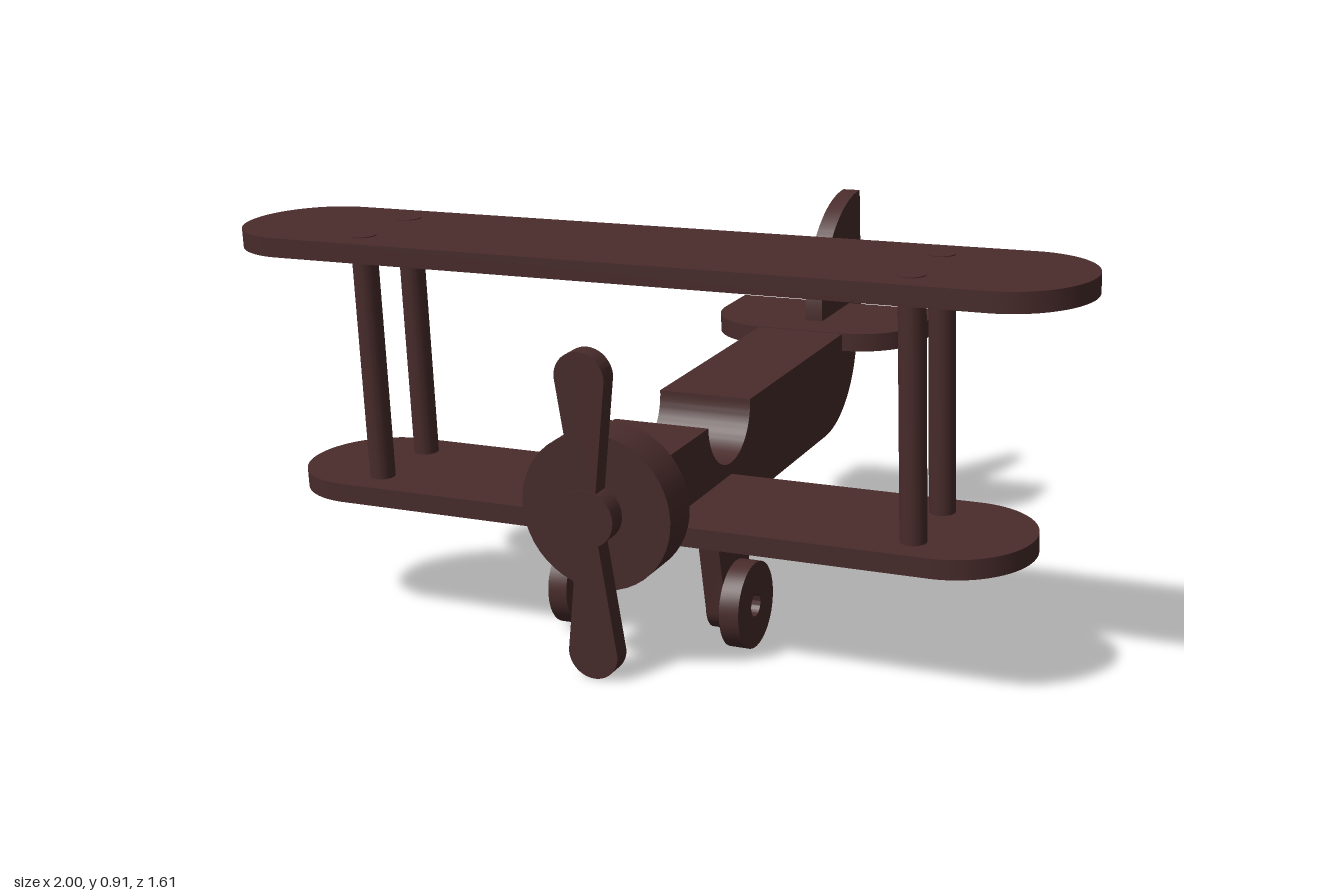
import * as THREE from 'three';
import { toCreasedNormals } from 'three/addons/utils/BufferGeometryUtils.js';

const wood = new THREE.MeshStandardMaterial({ color: 0x4a2c2c });

function extrude(shape, depth) {
  const geo = new THREE.ExtrudeGeometry(shape, { depth, bevelEnabled: false, curveSegments: 24 });
  return toCreasedNormals(geo, 0.6);
}

// Profile drawn in (z, y), given thickness along x, centred on x
function sidePlate(shape, x, thickness) {
  return extrude(shape, thickness).rotateY(-Math.PI / 2).translate(x + thickness / 2, 0, 0);
}

// Outline drawn in (x, z), hanging down from the given top height
function flatPlate(shape, top, thickness) {
  return extrude(shape, thickness).rotateX(Math.PI / 2).translate(0, top, 0);
}

function circleHole(shape, u, v, r) {
  const hole = new THREE.Path();
  hole.absarc(u, v, r, 0, Math.PI * 2, true);
  shape.holes.push(hole);
}

export function createModel() {
  const model = new THREE.Group();
  const plane = new THREE.Group();
  plane.name = 'biplane';
  model.add(plane);

  const add = (name, geometry) => {
    const mesh = new THREE.Mesh(geometry, wood);
    mesh.name = name;
    plane.add(mesh);
    return mesh;
  };

  // Fuselage with round cockpit cut and curved tail underside
  const body = new THREE.Shape();
  body.moveTo(0.61, 0.37);
  body.lineTo(0.61, 0.518);
  body.lineTo(0.373, 0.518);
  body.absarc(0.256, 0.518, 0.117, 0, Math.PI, true);
  body.lineTo(-0.563, 0.518);
  body.absarc(-0.328, 0.518, 0.235, Math.PI, Math.PI * 1.5, false);
  body.lineTo(0.256, 0.283);
  body.lineTo(0.256, 0.37);
  add('fuselage', sidePlate(body, 0, 0.23));

  // Engine cowl disc
  const cowl = new THREE.CylinderGeometry(0.175, 0.175, 0.096, 48).rotateX(Math.PI / 2);
  add('cowl', cowl.translate(0, 0.422, 0.656));

  // Propeller: two paddle blades and a hub
  const prop = new THREE.Shape();
  const tip = 0.305, r = 0.058;
  prop.moveTo(0.018, 0);
  prop.lineTo(r, tip);
  prop.absarc(0, tip, r, 0, Math.PI, false);
  prop.lineTo(-0.018, 0);
  prop.lineTo(-r, -tip);
  prop.absarc(0, -tip, r, Math.PI, Math.PI * 2, false);
  add('propeller', extrude(prop, 0.043).translate(0, 0.422, 0.704));
  const hub = new THREE.CylinderGeometry(0.063, 0.063, 0.046, 32).rotateX(Math.PI / 2);
  add('propellerHub', hub.translate(0, 0.422, 0.726));

  // Wings with semicircular ends
  const wing = (name, half, top) => {
    const radius = 0.176, z = 0.432, s = new THREE.Shape();
    s.absarc(half - radius, z, radius, -Math.PI / 2, Math.PI / 2, false);
    s.absarc(radius - half, z, radius, Math.PI / 2, Math.PI * 1.5, false);
    add(name, flatPlate(s, top, 0.044));
  };
  wing('upperWing', 1, 0.94);
  wing('lowerWing', 0.88, 0.374);

  // Wing struts, their ends showing through both wings
  for (const x of [-0.645, 0.645]) {
    for (const z of [0.336, 0.526]) {
      const strut = new THREE.CylinderGeometry(0.029, 0.029, 0.614, 24);
      add('wingStrut', strut.translate(x, 0.635, z));
    }
  }

  // Tailplane with rounded front corners
  const tail = new THREE.Shape();
  tail.moveTo(-0.282, -0.751);
  tail.lineTo(0.282, -0.751);
  tail.lineTo(0.282, -0.622);
  tail.absarc(0.115, -0.622, 0.167, 0, Math.PI / 2, false);
  tail.lineTo(-0.115, -0.455);
  tail.absarc(-0.115, -0.622, 0.167, Math.PI / 2, Math.PI, false);
  add('tailplane', flatPlate(tail, 0.52, 0.046));

  // Quarter-round fin reaching below the tailplane
  const fin = new THREE.Shape();
  fin.moveTo(-0.549, 0.518);
  fin.absarc(-0.842, 0.518, 0.293, 0, Math.PI / 2, false);
  fin.lineTo(-0.842, 0.451);
  fin.absarc(-0.822, 0.451, 0.02, Math.PI, Math.PI * 1.5, false);
  fin.lineTo(-0.667, 0.431);
  fin.absarc(-0.667, 0.466, 0.035, -Math.PI / 2, 0, false);
  fin.lineTo(-0.632, 0.518);
  add('tailFin', sidePlate(fin, 0, 0.046));

  // Tail skid: slanted bar with a round end
  const skid = new THREE.Shape();
  skid.moveTo(0, -0.028);
  skid.lineTo(0.16, -0.028);
  skid.lineTo(0.16, 0.028);
  skid.lineTo(0, 0.028);
  skid.absarc(0, 0, 0.028, Math.PI / 2, Math.PI * 1.5, false);
  add('tailSkid', sidePlate(skid, 0, 0.046).rotateX(-0.68).translate(0, 0.233, -0.33));

  // Landing gear: tapered legs and wheels with an open axle hole
  const leg = new THREE.Shape();
  const axleZ = 0.433, axleY = 0.14;
  leg.moveTo(axleZ + 0.07, 0.332);
  leg.quadraticCurveTo(axleZ + 0.09, 0.33, axleZ + 0.087, 0.302);
  leg.lineTo(axleZ + 0.06, axleY);
  leg.absarc(axleZ, axleY, 0.06, 0, Math.PI, true);
  leg.lineTo(axleZ - 0.087, 0.302);
  leg.quadraticCurveTo(axleZ - 0.09, 0.33, axleZ - 0.07, 0.332);
  circleHole(leg, axleZ, axleY, 0.026);
  const tyre = new THREE.Shape();
  tyre.absarc(axleZ, axleY, 0.098, 0, Math.PI * 2, false);
  circleHole(tyre, axleZ, axleY, 0.026);
  for (const side of [-1, 1]) {
    const x = 0.01 + side * 0.164;
    add('landingLeg', sidePlate(leg, x, 0.048));
    add('wheel', sidePlate(tyre, x + side * 0.047, 0.046));
  }

  // Nose-down stance, resting on the lower propeller tip
  plane.rotation.x = 0.0738;
  plane.position.y = -0.003;
  return model;
}
